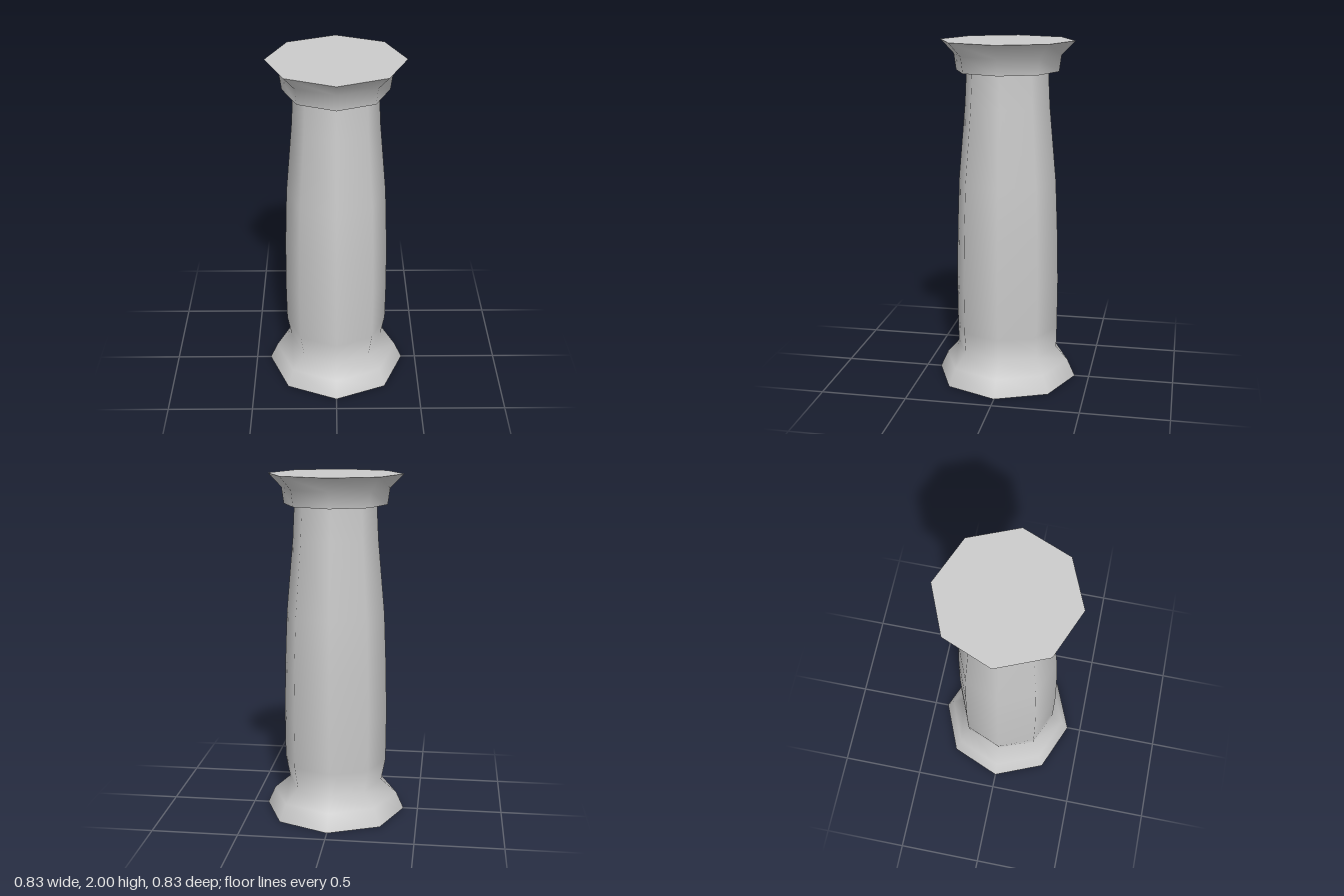
import * as THREE from 'three';

const SIDES = 8;
const material = new THREE.MeshStandardMaterial({ color: 0xcccccc });

// Eight-sided turned part; the profile runs bottom to top as [radius, y]
function turned(name, profile) {
  const points = profile.map(([r, y]) => new THREE.Vector2(r, y));
  const mesh = new THREE.Mesh(new THREE.LatheGeometry(points, SIDES), material);
  mesh.name = name;
  return mesh;
}

export function createModel() {
  const column = new THREE.Group();
  column.name = 'column';

  // Flared base flowing smoothly into the swelling shaft
  const body = turned('baseAndShaft', [
    [0.415, 0], [0.37, 0.1], [0.3, 0.18], [0.303, 0.31], [0.305, 0.6],
    [0.298, 0.9], [0.286, 1.2], [0.247, 1.63], [0.237, 1.83],
  ]);
  // The neck above the base is pinched sideways
  const pos = body.geometry.attributes.position;
  for (let i = 0; i < pos.count; i++) {
    if (Math.abs(pos.getY(i) - 0.18) < 0.001) pos.setX(i, pos.getX(i) * 0.925);
  }
  column.add(body);

  column.add(turned('baseUnderside', [[0, 0], [0.415, 0]]));

  // Flared capital with a flat underside and top
  const capital = new THREE.Group();
  capital.name = 'capital';
  capital.add(
    turned('capitalUnderside', [[0.2, 1.828], [0.297, 1.828]]),
    turned('capitalSide', [[0.297, 1.828], [0.31, 1.92], [0.387, 2]]),
    turned('capitalTop', [[0.387, 2], [0, 2]]),
  );
  column.add(capital);

  return column;
}
